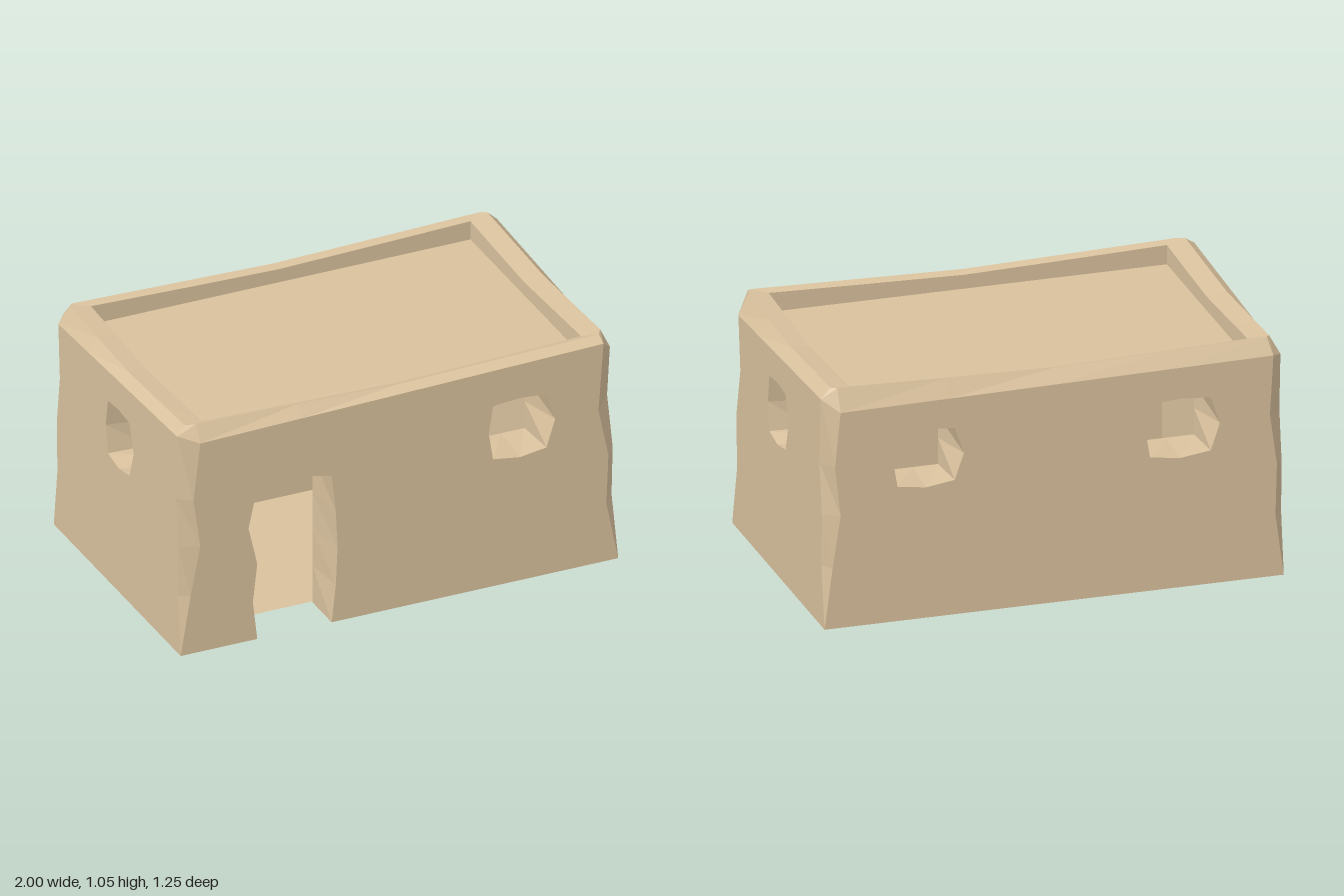
import * as THREE from 'three';

const FLOOR = 0.004, CEILING = 0.88, ROOF = 0.955, WALL = 0.19;
const material = new THREE.MeshStandardMaterial({ color: 0xd9c19d, flatShading: true });
const { clamp, lerp } = THREE.MathUtils;

// Each side, seen from outside: u runs left to right, v up, d is the distance from the centre.
// wear: how far the left and right edges are worn in; top: height of the upper edge at both ends.
// Openings are [u0, u1, v0, v1].
const sides = [
  { name: 'front', d: 0.62, wear: [0.09, 0.09], top: [0.985, 1.03],
    door: [-0.65, -0.31, 0, 0.695], windows: [[0.44, 0.66, 0.6, 0.84]] },
  { name: 'right', d: 1, wear: [0.11, 0.07], top: [0.96, 1.01], windows: [[-0.105, 0.09, 0.602, 0.838]] },
  { name: 'back', d: 0.63, wear: [0.07, 0.06], top: [0.96, 0.985],
    windows: [[-0.67, -0.445, 0.6, 0.82], [0.43, 0.67, 0.595, 0.82]] },
  { name: 'left', d: 1, wear: [0.06, 0.05], top: [0.97, 1.02], windows: [[-0.085, 0.105, 0.602, 0.838]] },
];

// Uneven wear up the height of a corner, as a share of the side's wear
const LEVELS = [0, 0.27, 0.5, 0.72];
const WEAR_A = [0, 0.5, 1, 0.65, 1], WEAR_B = [0, 0.6, 0.5, 1, 0.75];

// The u range of side k, moved in by an inset
const range = (k, inset) => [inset - sides[(k + 3) % 4].d, sides[(k + 1) % 4].d - inset];
// Parapet thickness: wider on the short sides
const rimInset = k => (k % 2 ? 0.1325 : 0.08);

function wornEdge(k, end) {
  const s = sides[k], u = range(k, 0)[end], share = end === 0 && k % 2 === 0 ? WEAR_A : WEAR_B;
  return [...LEVELS, s.top[end]].map((v, j) => [u - Math.sign(u) * s.wear[end] * share[j], v]);
}

// Window outline, anticlockwise: chipped corners and bulging edge midpoints
function windowLoop([u0, u1, v0, v1]) {
  const chip = 0.012, bulge = [0.018, 0.04, 0.01, 0.02];
  const corners = [[u0 - chip, v0], [u1 + chip, v0], [u1 + chip, v1 + chip], [u0 - chip, v1 + chip]];
  return corners.flatMap((c, i) => {
    const n = corners[(i + 1) % 4], a = (i - 1) * Math.PI / 2;
    return [c, [(c[0] + n[0]) / 2 + Math.cos(a) * bulge[i], (c[1] + n[1]) / 2 + Math.sin(a) * bulge[i]]];
  });
}

// Door outline from the right foot over the top to the left foot
function doorLoop([u0, u1, , v1]) {
  const steps = [0, 1, 2, 3, 4];
  const rightJamb = steps.map(j => [u1 + 0.027 * Math.sin(j * Math.PI / 4), v1 * j / 4]);
  const leftJamb = steps.map(j => [u0 - (j % 2 ? 0.01 * (j + 1) : 0), (v1 + 0.015) * j / 4]);
  return [...rightJamb, [lerp(u0, u1, 0.65), v1 + 0.023], ...leftJamb.reverse()];
}

// The same outline squared up on the room side of the wall
const squared = (loop, [u0, u1, v0, v1]) => loop.map(([u, v]) => [clamp(u, u0, u1), clamp(v, v0, v1)]);

// Side coordinates to model coordinates: side k is the front turned k quarter turns
const place = (k, [u, v], d) =>
  new THREE.Vector3(u, v, d).applyAxisAngle(new THREE.Vector3(0, 1, 0), k * Math.PI / 2);

// Strip of faces joining two rows of points
function band(a, b, closed = false) {
  const tris = [];
  for (let i = 0; i < a.length - (closed ? 0 : 1); i++) {
    const j = (i + 1) % a.length;
    tris.push([a[i], a[j], b[j]], [a[i], b[j], b[i]]);
  }
  return tris.filter(t => new THREE.Triangle(...t).getArea() > 1e-7);
}

function addMesh(group, name, geo) {
  geo.computeVertexNormals();
  const m = new THREE.Mesh(geo, material);
  m.name = name;
  group.add(m);
}

const addBand = (group, name, tris) =>
  addMesh(group, name, new THREE.BufferGeometry().setFromPoints(tris.flat()));

// Flat face with holes; flipped faces look the other way
function flat(outline, holes = [], flipped = false) {
  const toV2 = pts => pts.map(p => new THREE.Vector2(...p));
  const shape = new THREE.Shape(toV2(outline));
  holes.forEach(h => shape.holes.push(new THREE.Path(toV2(h))));
  const geo = new THREE.ShapeGeometry(shape);
  if (flipped) geo.setIndex([...geo.index.array].reverse());
  return geo;
}

const upright = (geo, k, d) => geo.translate(0, 0, d).rotateY(k * Math.PI / 2);
const lying = (geo, y) => geo.rotateX(-Math.PI / 2).translate(0, y, 0);

// Plan rectangle as [x, -z] corners
function plan(insetX, insetZ) {
  const [x0, x1] = range(0, insetX), [z0, z1] = range(1, insetZ);
  return [[x0, z0], [x1, z0], [x1, z1], [x0, z1]];
}

export function createModel() {
  const house = new THREE.Group();
  house.name = 'house';
  const edge = [], ridge = [], rim = [], roofEdge = [];

  sides.forEach((s, k) => {
    const left = wornEdge(k, 0), right = wornEdge(k, 1), next = (k + 1) % 4;
    const top = [0, 1, 2, 3, 4].map(i =>
      [lerp(left[4][0], right[4][0], i / 4), lerp(left[4][1], right[4][1], i / 4)]);
    const loops = s.windows.map(windowLoop);
    const innerLoops = loops.map((l, i) => squared(l, s.windows[i]));
    const door = s.door ? doorLoop(s.door) : [];
    const innerDoor = s.door ? squared(door, s.door) : [];
    const roomD = s.d - WALL;

    // Outer and inner wall faces
    const outline = [left[0], ...[...door].reverse(), ...right, ...top.slice(1, 4).reverse(),
      ...left.slice(1).reverse()];
    addMesh(house, s.name + 'Wall', upright(flat(outline, loops), k, s.d));
    const [r0, r1] = range(k, WALL);
    const room = [[r0, 0], ...[...innerDoor].reverse(), [r1, 0], [r1, CEILING], [r0, CEILING]];
    addMesh(house, s.name + 'InnerWall', upright(flat(room, innerLoops, true), k, roomD));

    // Reveals of the windows and the door
    const reveal = (outer, inner, closed) =>
      band(outer.map(p => place(k, p, s.d)), inner.map(p => place(k, p, roomD)), closed);
    loops.forEach((l, i) => addBand(house, `${s.name}WindowReveal${i + 1}`, reveal(l, innerLoops[i], true)));
    if (s.door) addBand(house, 'doorReveal', reveal(door, innerDoor, false));

    // Worn corner towards the next side
    addBand(house, s.name + 'Corner', band(
      wornEdge(next, 0).map(p => place(next, p, sides[next].d)), right.map(p => place(k, p, s.d))));

    // Rings of the parapet, with a gently waving crest
    top.forEach(([u, v], i) => {
      const crest = 1.041 + 0.012 * Math.cos(i * Math.PI / 2);
      const rimU = clamp(u, ...range(k, rimInset(k + 1))), rimD = s.d - rimInset(k);
      edge.push(place(k, [u, v], s.d));
      ridge.push(place(k, [clamp(u, ...range(k, 0.06)), crest], s.d - 0.045));
      rim.push(place(k, [rimU, crest - 0.012], rimD));
      roofEdge.push(place(k, [rimU, ROOF], rimD));
    });
  });

  addBand(house, 'parapetBevel', band(edge, ridge, true));
  addBand(house, 'parapetTop', band(ridge, rim, true));
  addBand(house, 'parapetInside', band(rim, roofEdge, true));

  // Roof, ceiling, floor, and underside with the doorway notch
  addMesh(house, 'roof', lying(flat(plan(rimInset(1), rimInset(0))), ROOF));
  addMesh(house, 'ceiling', lying(flat(plan(WALL, WALL), [], true), CEILING));
  addMesh(house, 'floor', lying(flat(plan(WALL, WALL)), FLOOR));
  const [d0, d1] = sides[0].door, [first, ...rest] = plan(0, 0), z = first[1];
  const notch = [[d0, z], [d0, z + WALL], [d1, z + WALL], [d1, z]];
  addMesh(house, 'underside', lying(flat([first, ...notch, ...rest], [], true), 0));
  return house;
}
